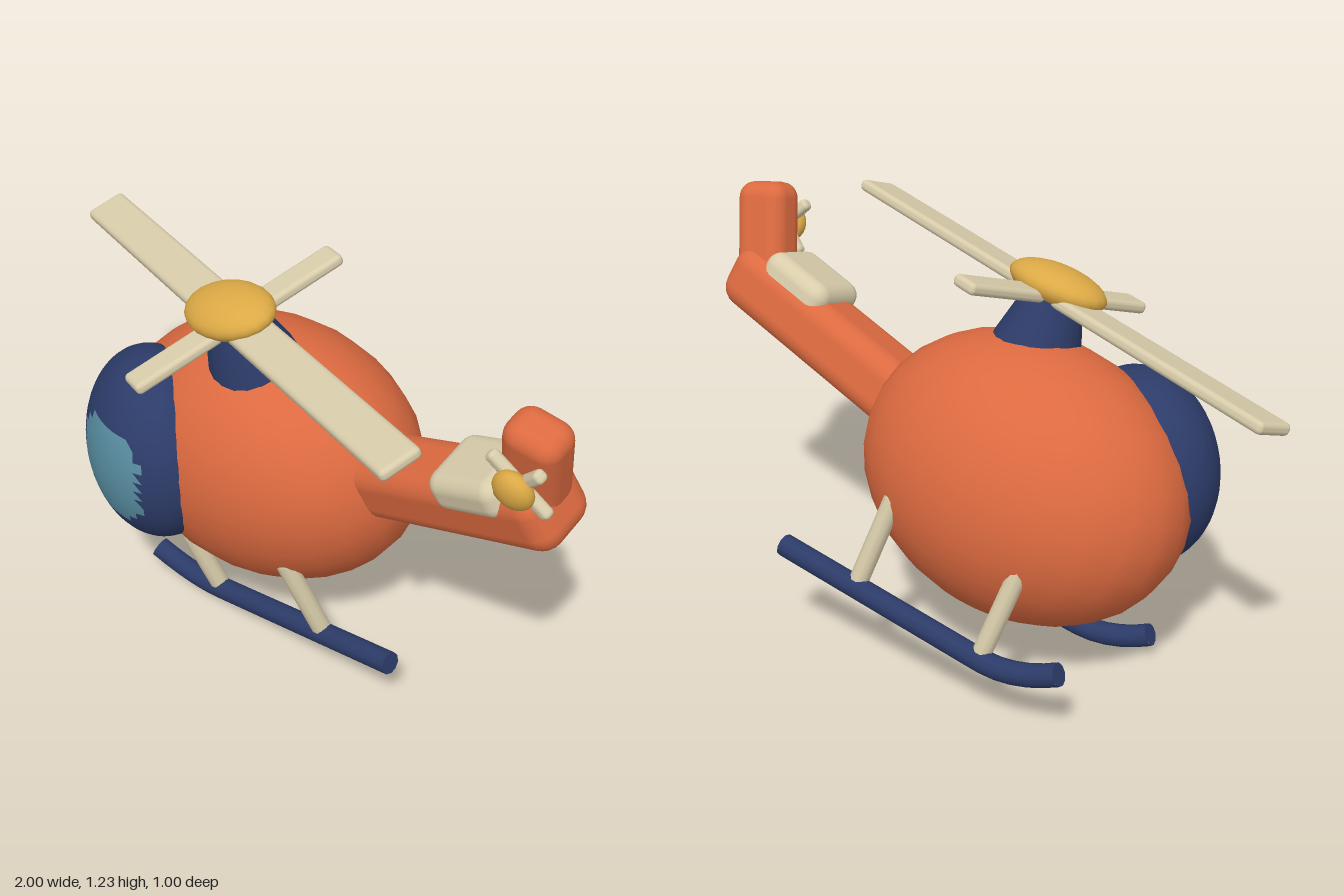
import * as THREE from 'three';
import { RoundedBoxGeometry } from 'three/addons/geometries/RoundedBoxGeometry.js';

const mat = (name, color) => {
  const m = new THREE.MeshStandardMaterial({ color });
  m.name = name;
  return m;
};

export function createModel() {
  const orange = mat('orange paint', 0xdc6a40);
  const navy = mat('navy paint', 0x2c3b68);
  const teal = mat('teal glass', 0x578ca0);
  const gold = mat('gold', 0xdca945);
  const cream = mat('cream', 0xd8ccaa);

  const root = new THREE.Group();
  root.name = 'helicopter';

  // The craft is banked and yawed: nose along local -x, rotor along local +y
  const craft = new THREE.Group();
  craft.name = 'craft';
  const ax = new THREE.Vector3(0.97, 0.187, -0.155).normalize();
  const az = new THREE.Vector3(0.204, -0.279, 0.939);
  const ay = new THREE.Vector3().crossVectors(az, ax).normalize();
  az.crossVectors(ax, ay);
  craft.quaternion.setFromRotationMatrix(new THREE.Matrix4().makeBasis(ax, ay, az));
  craft.position.set(-0.15, 0.58, 0.01);
  root.add(craft);

  const add = (name, geo, material, pos = [0, 0, 0], rot = [0, 0, 0], parent = craft) => {
    const m = new THREE.Mesh(geo, material);
    m.name = name;
    m.position.set(...pos);
    m.rotation.set(...rot);
    parent.add(m);
    return m;
  };
  const ellipsoid = (rx, ry, rz, w = 20, h = 14) => new THREE.SphereGeometry(1, w, h).scale(rx, ry, rz);
  const rounded = (x, y, z, r, s = 2) => new RoundedBoxGeometry(x, y, z, s, r);

  // Fuselage
  add('body', ellipsoid(0.515, 0.412, 0.37, 24, 16), orange);

  // Cockpit dome, with the glass taken from its front faces
  const dome = new THREE.SphereGeometry(1, 48, 30);
  const p = dome.attributes.position;
  const index = dome.index.array;
  const shell = [], glass = [];
  for (let i = 0; i < index.length; i += 3) {
    const tri = [index[i], index[i + 1], index[i + 2]];
    const mean = (k) => tri.reduce((s, j) => s + p.getComponent(j, k), 0) / 3;
    const cx = mean(0), cy = mean(1), cz = mean(2);
    const u = Math.abs((0.263 * cx - 0.066 * cz - 0.035) / 0.146);
    const v = Math.abs((0.295 * cy) / 0.152);
    const inside = cz > 0 && u < 1 && v < 1 && u + v < 1.55;
    (inside ? glass : shell).push(...tri);
  }
  dome.setIndex([...shell, ...glass]);
  dome.addGroup(0, shell.length, 0);
  dome.addGroup(shell.length, glass.length, 1);
  dome.scale(0.28, 0.295, 0.205);
  add('cockpit', dome, [navy, teal], [-0.355, 0.592, 0.284], [0, -0.34, 0], root);

  // Rotor mast, blades and cap
  add('mast', new THREE.CylinderGeometry(0.085, 0.14, 0.18, 20), navy, [0.1, 0.43, 0]);
  const rotor = new THREE.Group();
  rotor.name = 'mainRotor';
  rotor.position.set(0.105, 0.52, 0);
  rotor.rotation.y = -0.314;
  craft.add(rotor);
  add('longBlade', rounded(1.79, 0.036, 0.125, 0.015), cream, [0, 0, 0], [0, 0, 0], rotor);
  add('shortBlade', rounded(0.09, 0.036, 0.69, 0.015), cream, [0, 0, 0], [0, 0, 0], rotor);
  add('rotorCap', ellipsoid(0.155, 0.058, 0.108), gold, [0.1, 0.55, 0]);

  // Tail boom with saddle, rising toward the back
  const tail = new THREE.Group();
  tail.name = 'tail';
  tail.position.set(0.47, 0.046, 0);
  tail.rotation.z = 0.197;
  craft.add(tail);
  add('boom', rounded(0.88, 0.2, 0.215, 0.065, 3), orange, [0.25, 0, 0], [0, 0, 0], tail);
  add('saddle', rounded(0.25, 0.12, 0.215, 0.045, 3), cream, [0.46, 0.08, 0.01], [0, 0, 0], tail);

  // Swept tail fin
  add('fin', rounded(0.17, 0.37, 0.135, 0.05, 3), orange, [1.083, 0.285, -0.012], [0, 0, -0.34]);

  // Tail rotor on the left side of the fin
  for (const a of [0.62, -0.95])
    add('tailBlade', rounded(0.225, 0.036, 0.036, 0.014), cream, [1.115, 0.335, 0.085], [0, 0, a]);
  add('tailHub', ellipsoid(0.06, 0.06, 0.038, 16, 12), gold, [1.115, 0.338, 0.11]);

  // Landing gear on both sides
  for (const s of [1, -1]) {
    const side = s > 0 ? 'left' : 'right';
    const path = new THREE.CurvePath();
    const bend = new THREE.Vector3(-0.19, -0.443, s * 0.28);
    const tip = new THREE.Vector3(-0.43, -0.36, s * 0.28);
    path.add(new THREE.QuadraticBezierCurve3(tip, new THREE.Vector3(-0.31, -0.443, s * 0.28), bend));
    path.add(new THREE.LineCurve3(bend, new THREE.Vector3(0.53, -0.443, s * 0.28)));
    add(side + 'Skid', new THREE.TubeGeometry(path, 20, 0.034, 10), navy);
    // Flat end caps
    add(side + 'SkidBackCap', new THREE.CircleGeometry(0.034, 10), navy, [0.53, -0.443, s * 0.28], [0, Math.PI / 2, 0]);
    const front = add(side + 'SkidFrontCap', new THREE.CircleGeometry(0.034, 10), navy, tip.toArray());
    front.quaternion.setFromUnitVectors(new THREE.Vector3(0, 0, 1), new THREE.Vector3(-0.12, 0.083, 0).normalize());
    for (const [name, x] of [['FrontStrut', -0.2], ['BackStrut', 0.245]])
      add(side + name, new THREE.CapsuleGeometry(0.029, 0.28, 4, 10), cream, [x, -0.29, s * 0.275], [0, 0, 0.09]);
  }

  return root;
}
